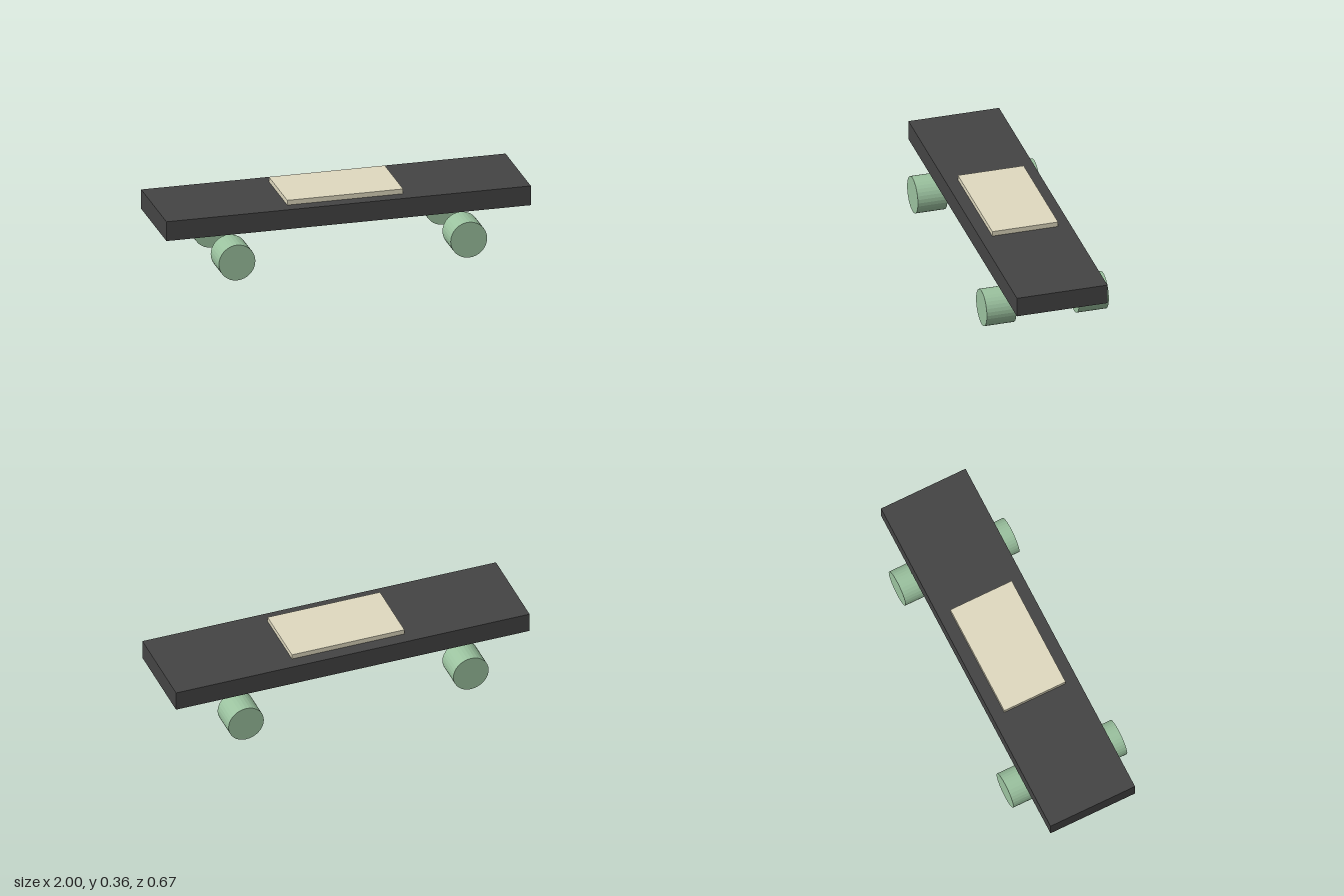
import * as THREE from 'three';

const material = (color) => new THREE.MeshStandardMaterial({ color, flatShading: true });

function addPart(parent, name, geometry, mat, x, y, z) {
  const mesh = new THREE.Mesh(geometry, mat);
  mesh.name = name;
  mesh.position.set(x, y, z);
  parent.add(mesh);
  return mesh;
}

export function createModel() {
  const model = new THREE.Group();
  model.name = 'skateboard';

  // Deck slab and the thin grip pad on top of it
  addPart(model, 'deck', new THREE.BoxGeometry(2, 0.109, 0.5), material(0x444444), 0, 0.2825, 0);
  addPart(model, 'gripPad', new THREE.BoxGeometry(0.636, 0.027, 0.363), material(0xe0dac0), 0, 0.3505, 0);

  // Four faceted wheels with their axes along z, clear of the deck
  const wheelGeometry = new THREE.CylinderGeometry(0.1, 0.1, 0.163, 32).rotateX(Math.PI / 2);
  const wheelMaterial = material(0x9bc29f);
  for (const [end, x] of [['Left', 0.636], ['Right', -0.636]]) {
    for (const [side, z] of [['front', 0.255], ['back', -0.255]]) {
      addPart(model, `${side}${end}Wheel`, wheelGeometry, wheelMaterial, x, 0.1, z);
    }
  }
  return model;
}
